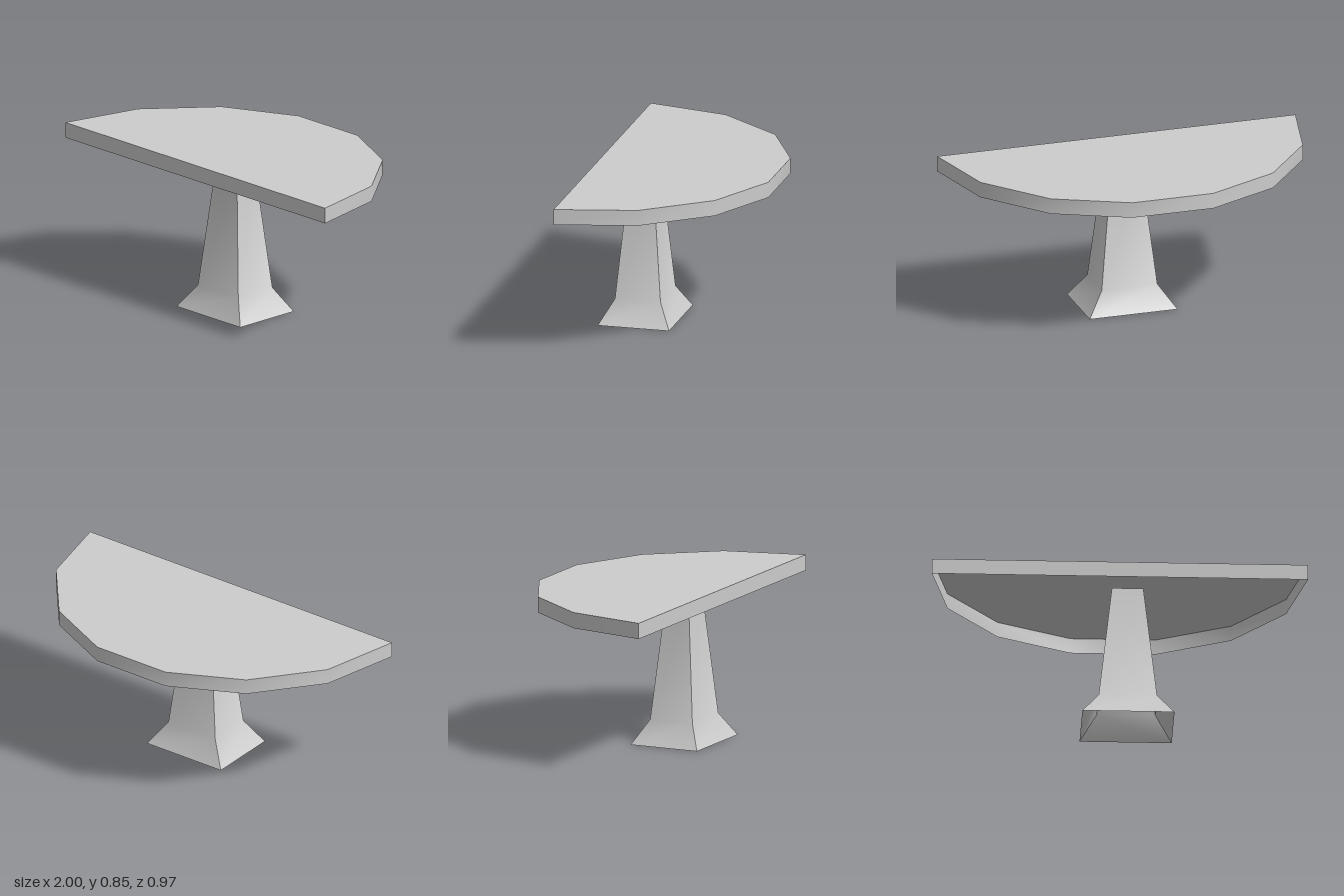
import * as THREE from 'three';
import { toCreasedNormals } from 'three/addons/utils/BufferGeometryUtils.js';

const CREASE = THREE.MathUtils.degToRad(40);

// Open-ended tube lofted through rings of [x, y, z] points, counter-clockwise from above
function loft(rings) {
  const pos = [];
  const n = rings[0].length;
  for (let r = 0; r < rings.length - 1; r++) {
    for (let i = 0; i < n; i++) {
      const j = (i + 1) % n;
      const [a, b, c, d] = [rings[r][i], rings[r][j], rings[r + 1][j], rings[r + 1][i]];
      pos.push(...a, ...b, ...c, ...a, ...c, ...d);
    }
  }
  const geo = new THREE.BufferGeometry();
  geo.setAttribute('position', new THREE.Float32BufferAttribute(pos, 3));
  geo.computeVertexNormals();
  return toCreasedNormals(geo, CREASE);
}

const rect = (y, x0, x1, z0, z1) => [[x0, y, z1], [x1, y, z1], [x1, y, z0], [x0, y, z0]];

export function createModel() {
  const model = new THREE.Group();
  model.name = 'halfRoundTable';
  const grey = new THREE.MeshStandardMaterial({ color: 0xcccccc, side: THREE.DoubleSide });
  grey.name = 'light grey';

  const add = (name, geometry) => {
    const mesh = new THREE.Mesh(geometry, grey);
    mesh.name = name;
    model.add(mesh);
  };

  // Half-round outline (x, z): straight front, faceted curve at the back, mirrored
  const half = [[1, 0.487], [0.9, 0.05], [0.62, -0.298], [0.226, -0.487]];
  const outline = [...half, ...half.map(([x, z]) => [-x, z]).reverse()];

  // Table top: a flat board with a rim hanging from it, hollow underneath
  const board = new THREE.ShapeGeometry(new THREE.Shape(outline.map(([x, z]) => new THREE.Vector2(x, -z))));
  board.rotateX(-Math.PI / 2);
  board.translate(0, 0.849, 0);
  add('tableBoard', board);
  add('tableRim', loft([0.764, 0.849].map((y) => outline.map(([x, z]) => [x, y, z]))));

  // Hollow tapered pedestal with a flared foot, slightly off centre
  add('pedestal', loft([
    rect(0, -0.198, 0.292, 0.042, 0.434),
    rect(0.128, -0.108, 0.202, 0.113, 0.363),
    rect(0.78, -0.036, 0.131, 0.171, 0.305),
  ]));

  return model;
}
